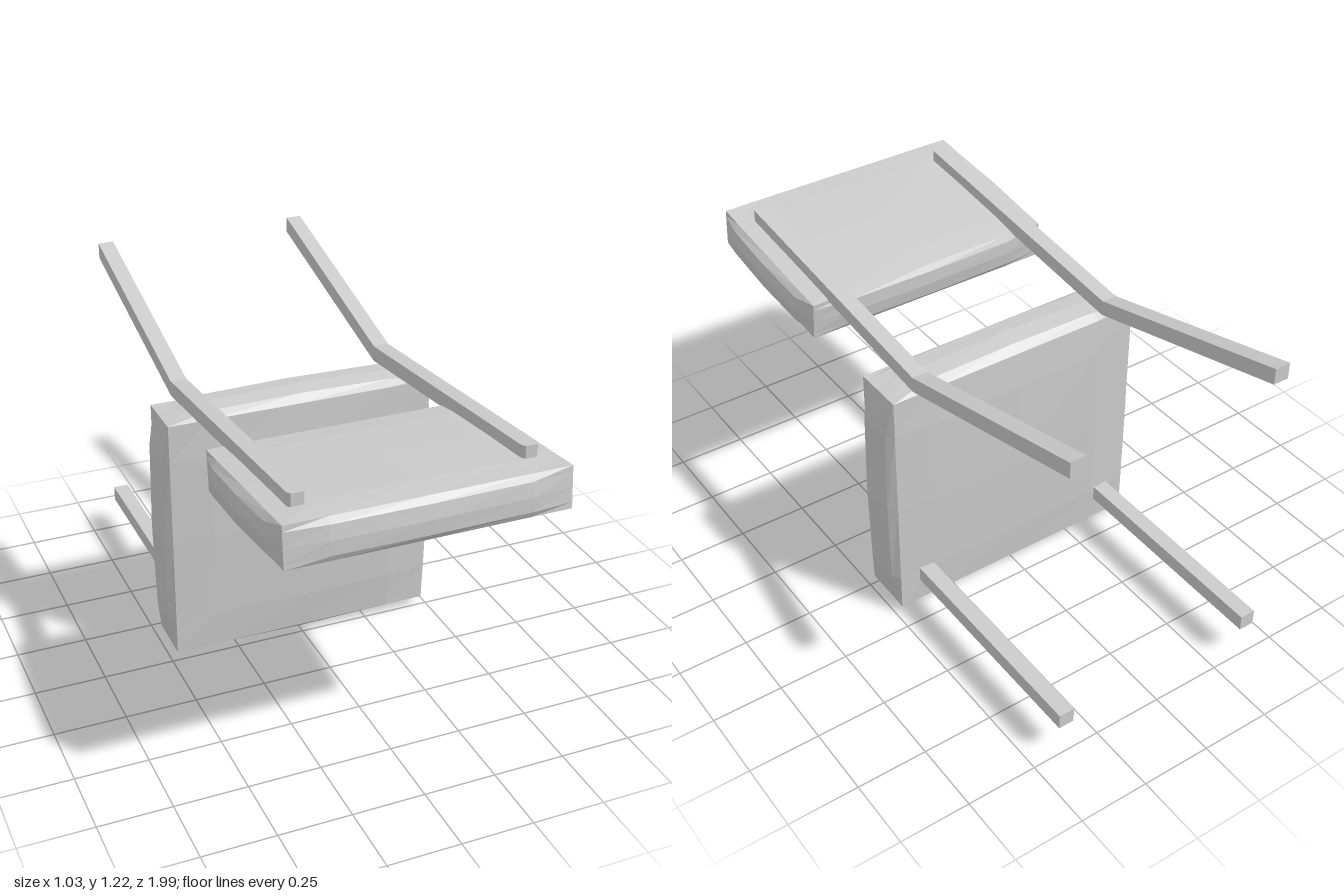
import * as THREE from 'three';

const material = new THREE.MeshStandardMaterial({ color: 0xcccccc, flatShading: true });

// Padded slab: a box whose faces swell outwards while its edges stay straight
function cushion(name, half, bulge) {
  const geo = new THREE.BoxGeometry(2, 2, 2, 4, 4, 4);
  const p = geo.attributes.position;
  const spread = (u) => (Math.abs(u) > 0.9 ? u : u * 1.4); // moves the inner rows towards the rim
  const fall = (u) => 1 - u ** 4;
  for (let i = 0; i < p.count; i++) {
    const u = spread(p.getX(i)), v = spread(p.getY(i)), w = spread(p.getZ(i));
    p.setXYZ(i,
      u * (half[0] + bulge[0] * fall(v) * fall(w)),
      v * (half[1] + bulge[1] * fall(u) * fall(w)),
      w * (half[2] + bulge[2] * fall(u) * fall(v)));
  }
  geo.computeVertexNormals();
  const mesh = new THREE.Mesh(geo, material);
  mesh.name = name;
  return mesh;
}

// Square bar through sections [z, bottom, top, half width], listed front to back
function bar(name, x, sections) {
  const rings = sections.map(([z, bottom, top, w]) => [
    [x - w, bottom, z], [x + w, bottom, z], [x + w, top, z], [x - w, top, z],
  ]);
  const pos = [];
  const quad = (a, b, c, d) => [a, b, c, a, c, d].forEach((v) => pos.push(...v));
  quad(...rings[0]);
  for (let s = 0; s + 1 < rings.length; s++) {
    for (let i = 0; i < 4; i++) {
      const j = (i + 1) % 4;
      quad(rings[s][i], rings[s + 1][i], rings[s + 1][j], rings[s][j]);
    }
  }
  quad(...rings[rings.length - 1].slice().reverse());
  const geo = new THREE.BufferGeometry();
  geo.setAttribute('position', new THREE.Float32BufferAttribute(pos, 3));
  geo.computeVertexNormals();
  const mesh = new THREE.Mesh(geo, material);
  mesh.name = name;
  return mesh;
}

export function createModel() {
  const chair = new THREE.Group();
  chair.name = 'chair';

  // Seat pad, standing upright because the chair is tipped on its back
  const seat = cushion('seat', [0.48, 0.446, 0.0925], [0.033, 0.033, 0.014]);
  seat.position.set(0, 0.484, -0.0925);
  chair.add(seat);

  // Backrest pad, slightly reclined
  const back = cushion('backrest', [0.465, 0.07, 0.313], [0.031, 0.012, 0.022]);
  back.position.set(0, 0.967, 0.657);
  back.rotation.x = -0.097;
  chair.add(back);

  const w = 0.028;
  for (const [side, x] of [['left', 0.378], ['right', -0.378]]) {
    // Bent bar: backrest support and rear leg in one piece, with a chamfered tip
    chair.add(bar(side + 'BackLegAndSupport', x, [
      [0.865, 1.055, 1.105, 0.02],
      [0.852, 1.054, 1.104, w],
      [-0.185, 0.95, 1.005, w],
      [-1, 1.163, 1.22, w],
    ]));
    // Straight front leg
    chair.add(bar(side + 'FrontLeg', x, [
      [-0.17, 0.13, 0.186, w],
      [-1, 0.13, 0.186, w],
    ]));
  }
  return chair;
}
